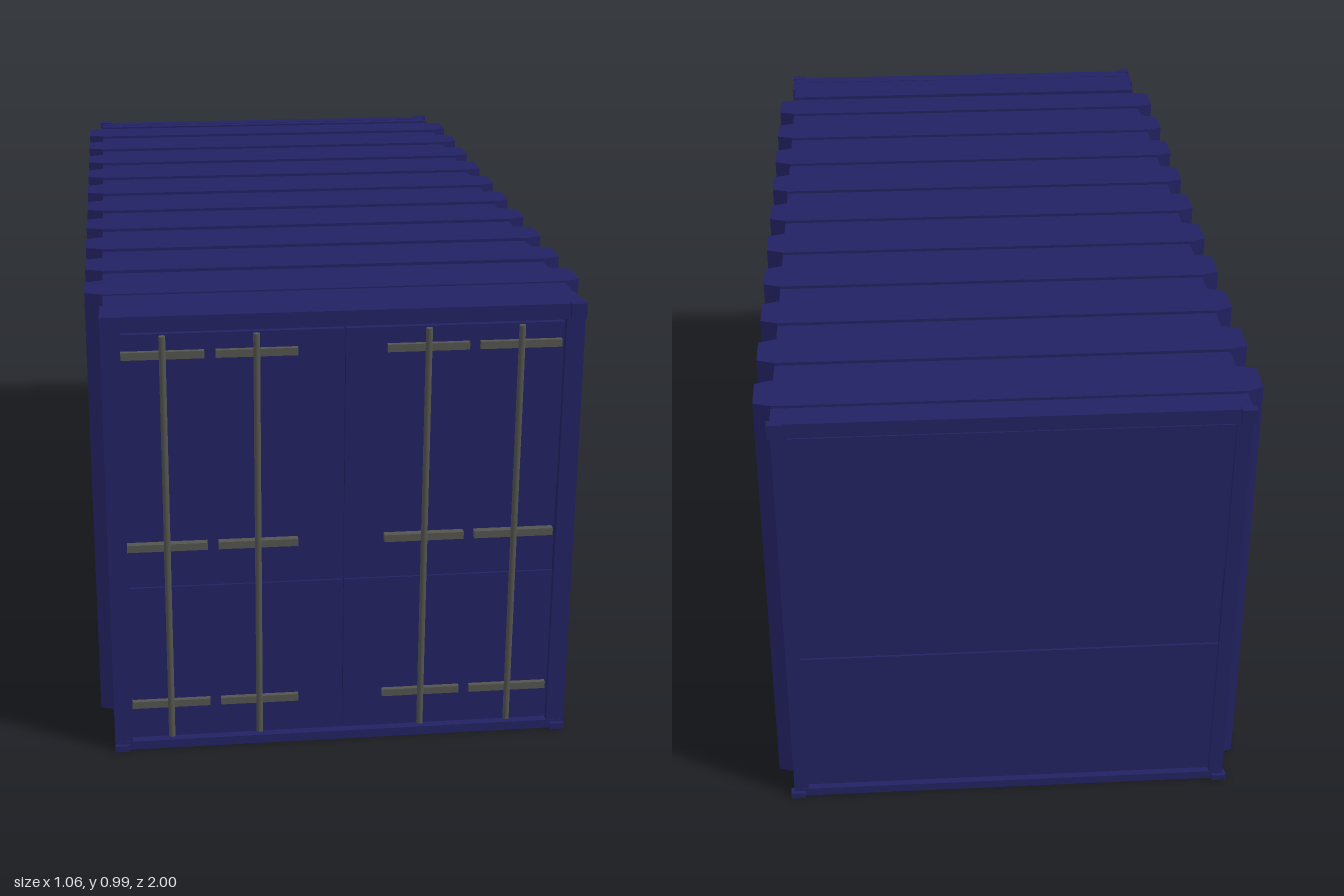
import * as THREE from 'three';

const paint = new THREE.MeshStandardMaterial({ name: 'navyPaint', color: 0x232263 });
const steel = new THREE.MeshStandardMaterial({ name: 'greySteel', color: 0x53534f });

const RIBS = 10, PITCH = 0.1797, FIRST = -0.858;
const BASE = 0.053, TIP = 0.04, IN = 0.49, OUT = 0.528;
const ribZ = (i) => FIRST + i * PITCH;

export function createModel() {
  const model = new THREE.Group();
  model.name = 'cargoContainer';

  const add = (name, geometry, material, x = 0, y = 0, z = 0) => {
    const mesh = new THREE.Mesh(geometry, material);
    mesh.name = name;
    mesh.position.set(x, y, z);
    model.add(mesh);
    return mesh;
  };
  // Box given by its extents on each axis
  const block = (name, [x0, x1], [y0, y1], [z0, z1], material = paint) =>
    add(name, new THREE.BoxGeometry(x1 - x0, y1 - y0, z1 - z0), material,
      (x0 + x1) / 2, (y0 + y1) / 2, (z0 + z1) / 2);
  // Plan outline (x, z) raised from y0 to y1
  const raise = (name, points, y0, y1) => {
    const shape = new THREE.Shape(points.map(([x, z]) => new THREE.Vector2(x, -z)));
    const geometry = new THREE.ExtrudeGeometry(shape, { depth: y1 - y0, bevelEnabled: false });
    geometry.rotateX(-Math.PI / 2);
    return add(name, geometry, paint, 0, y0, 0);
  };

  // Corrugated body: trapezoid ribs down both long sides
  const side = [[IN, -0.975]];
  for (let i = 0; i < RIBS; i++) {
    const z = ribZ(i);
    side.push([IN, z - BASE], [OUT, z - TIP], [OUT, z + TIP], [IN, z + BASE]);
  }
  side.push([IN, 0.965]);
  const mirrored = side.map(([x, z]) => [-x, z]).reverse();
  raise('corrugatedBody', [...side, ...mirrored], 0.002, 0.978);

  // Shallow roof ribs lined up with the wall ribs
  for (let i = 0; i < RIBS; i++) {
    const z = ribZ(i);
    raise('roofRib', [
      [IN, z - BASE], [OUT, z - TIP], [OUT, z + TIP], [IN, z + BASE],
      [-IN, z + BASE], [-OUT, z + TIP], [-OUT, z - TIP], [-IN, z - BASE],
    ], 0.976, 0.985);
  }

  // Roof end plates
  block('frontRoofPlate', [-0.49, 0.49], [0.97, 0.987], [0.83, 0.97]);
  block('backRoofPlate', [-0.49, 0.49], [0.97, 0.987], [-0.985, -0.925]);

  // End frames, panels with a recessed middle band, and corner fittings
  for (const s of [1, -1]) {
    const end = s > 0 ? 'front' : 'back';
    const face = s > 0 ? 0.985 : -0.99;
    const depth = (a, b) => [face - s * a, face - s * b].sort((p, q) => p - q);

    block(end + 'Header', [-0.49, 0.49], [0.955, 0.988], depth(0, 0.04));
    block(end + 'Sill', [-0.49, 0.49], [0, 0.02], depth(0, 0.04));
    for (const m of [1, -1]) {
      const span = (a, b) => [m * a, m * b].sort((p, q) => p - q);
      block(end + 'Post', span(0.458, s > 0 ? 0.497 : 0.49), [0.003, 0.985],
        depth(0.001, s > 0 ? 0.09 : 0.04));
      for (const y of [[0, 0.014], [0.958, 0.99]])
        block(end + 'CornerFitting', span(0.465, 0.497), y, depth(-0.008, 0.012));
    }

    // Two doors at the front, one wide panel at the back
    const leaves = s > 0 ? [[-0.456, -0.002], [0.002, 0.456]] : [[-0.458, 0.458]];
    for (const x of leaves) {
      const name = s > 0 ? 'door' : 'backPanel';
      block(name + 'Lower', x, [0.026, 0.384], depth(0.008, 0.03));
      block(name + 'Middle', x, [0.384, 0.586], depth(0.013, 0.03));
      block(name + 'Upper', x, [0.586, 0.948], depth(0.008, 0.03));
    }
  }

  // Door locking rods and their brackets
  const rods = [
    [-0.373, -0.457, -0.288], [-0.182, -0.265, -0.097],
    [0.171, 0.087, 0.257], [0.364, 0.28, 0.45],
  ];
  for (const [x, x0, x1] of rods) {
    add('lockingRod', new THREE.CylinderGeometry(0.007, 0.007, 0.913, 12), steel, x, 0.4915, 0.992);
    for (const y of [0.905, 0.48, 0.11])
      block('rodBracket', [x0, x1], [y - 0.008, y + 0.008], [0.97, 0.988], steel);
  }
  return model;
}
